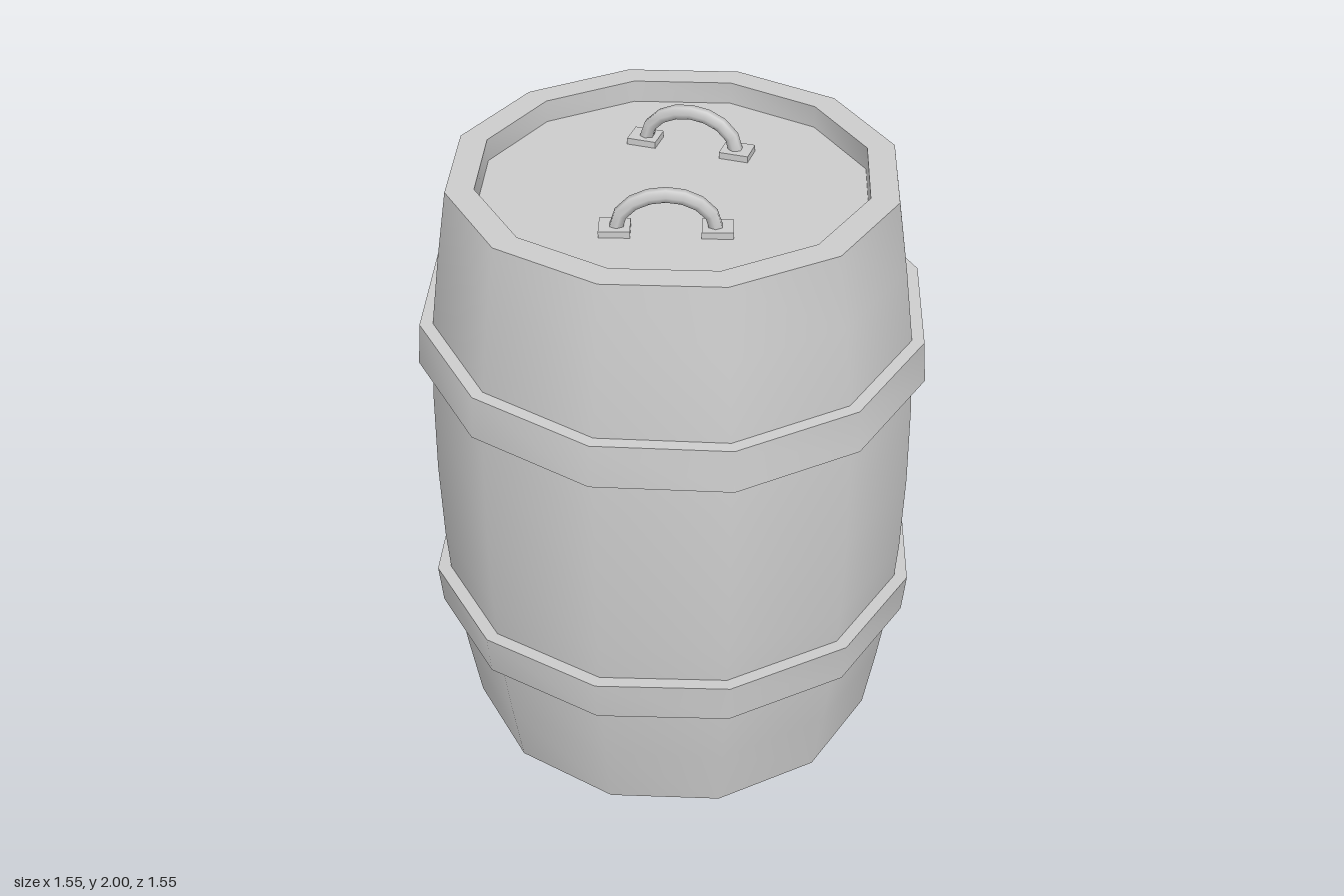
import * as THREE from 'three';
import { toCreasedNormals } from 'three/addons/utils/BufferGeometryUtils.js';

const SIDES = 12;
const PHASE = 0.163;
const HEIGHT = 1.93;
const LID_Y = 1.86;

const material = new THREE.MeshStandardMaterial({ color: 0xcccccc });

function addMesh(parent, name, geometry) {
  const mesh = new THREE.Mesh(geometry, material);
  mesh.name = name;
  parent.add(mesh);
  return mesh;
}

// Twelve-sided turned shape, profile given as [radius, y] pairs
function turned(profile) {
  const points = profile.map(([r, y]) => new THREE.Vector2(r, y));
  return new THREE.LatheGeometry(points, SIDES, PHASE);
}

const creased = (geometry) => toCreasedNormals(geometry, 0.7);

// Hoop set slightly askew: tilt raises or lowers it along x and z
function hoopGeometry(profile, tilt) {
  const geometry = turned(profile);
  const p = geometry.attributes.position;
  for (let i = 0; i < p.count; i++) {
    p.setY(i, p.getY(i) + tilt * (p.getX(i) + p.getZ(i)));
  }
  return creased(geometry);
}

// Arched carrying handle on two square feet
function createHandle(name, x, z, angle) {
  const handle = new THREE.Group();
  handle.name = name;
  const span = 0.143;
  const path = [];
  for (let i = 0; i <= 8; i++) {
    const a = Math.PI * (1 - i / 8);
    path.push(new THREE.Vector3(Math.cos(a) * span, 0.01 + Math.sin(a) * 0.108, 0));
  }
  const curve = new THREE.CatmullRomCurve3(path);
  addMesh(handle, 'handleGrip', new THREE.TubeGeometry(curve, 8, 0.022, 6));
  for (const side of [-1, 1]) {
    const foot = addMesh(handle, 'handleFoot', new THREE.BoxGeometry(0.09, 0.02, 0.08));
    foot.position.set(side * 0.146, 0.01, 0);
  }
  handle.position.set(x, LID_Y, z);
  handle.rotation.y = angle;
  return handle;
}

export function createModel() {
  const barrel = new THREE.Group();
  barrel.name = 'barrel';

  // Bulging body with a recessed lid and base
  const lower = [[0, 0.07], [0.585, 0.07], [0.585, 0], [0.67, 0],
    [0.705, 0.22], [0.735, 0.44], [0.751, 0.7]];
  const upper = lower.map(([r, y]) => [r, HEIGHT - y]).reverse();
  addMesh(barrel, 'body', creased(turned([...lower, [0.756, HEIGHT / 2], ...upper])));

  // Two hoops, the lower a mirror of the upper
  const band = [[0.71, 1.36], [0.785, 1.36], [0.774, 1.493], [0.71, 1.493]];
  const mirrored = band.map(([r, y]) => [r, HEIGHT - 0.01 - y]).reverse();
  addMesh(barrel, 'upperHoop', hoopGeometry(band, -0.025));
  addMesh(barrel, 'lowerHoop', hoopGeometry(mirrored, 0.025));

  // Lid handles
  barrel.add(createHandle('backHandle', -0.073, -0.256, 0.15));
  barrel.add(createHandle('frontHandle', 0.09, 0.227, 0.45));

  return barrel;
}
